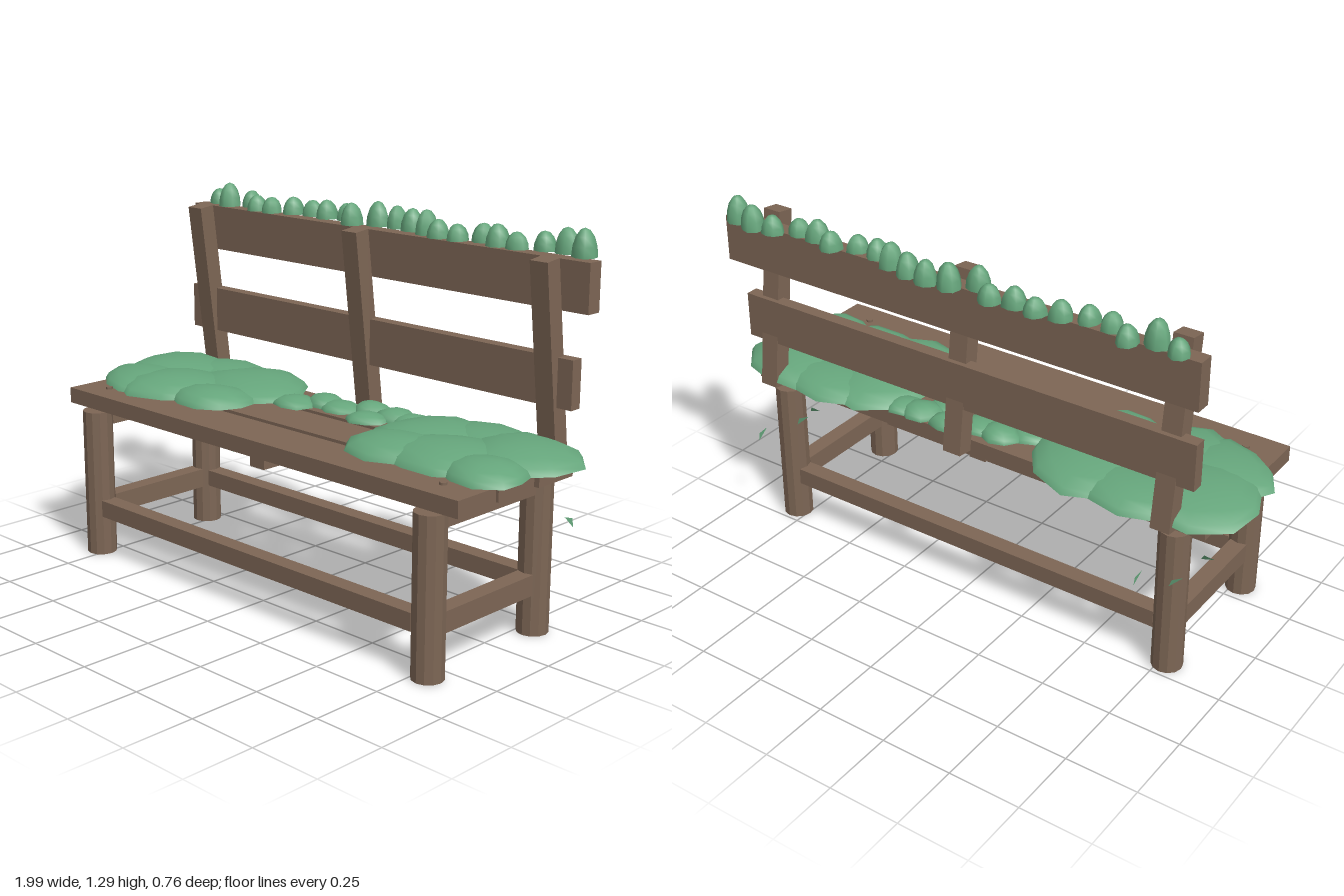
import * as THREE from 'three';
import { mergeGeometries, mergeVertices } from 'three/addons/utils/BufferGeometryUtils.js';

const wood = new THREE.MeshStandardMaterial({ color: 0x7d6655 });
wood.name = 'wood';
const moss = new THREE.MeshStandardMaterial({ color: 0x66a67c });
moss.name = 'moss';
const leafGreen = new THREE.MeshStandardMaterial({ color: 0x66a67c, side: THREE.DoubleSide });
leafGreen.name = 'leaf';

// Box given by its limits on each axis
function beam(name, [x0, x1], [y0, y1], [z0, z1]) {
  const mesh = new THREE.Mesh(new THREE.BoxGeometry(x1 - x0, y1 - y0, z1 - z0), wood);
  mesh.position.set((x0 + x1) / 2, (y0 + y1) / 2, (z0 + z1) / 2);
  mesh.name = name;
  return mesh;
}

// Faceted upright round post
function post(name, x, z, radius, y0, y1) {
  const geo = new THREE.CylinderGeometry(radius, radius, y1 - y0, 12).toNonIndexed();
  geo.computeVertexNormals();
  const mesh = new THREE.Mesh(geo, wood);
  mesh.position.set(x, (y0 + y1) / 2, z);
  mesh.name = name;
  return mesh;
}

// Irregular smooth dome with a flat underside
function dome(name, x, y, z, rx, h, rz, seed, sides = 9) {
  const profile = [0, 22, 45, 68, 90].map((d) => {
    const a = THREE.MathUtils.degToRad(d);
    return new THREE.Vector2(d === 90 ? 0 : Math.cos(a), Math.sin(a));
  });
  const base = [new THREE.Vector2(0, 0), new THREE.Vector2(1, 0)];
  const parts = [profile, base].map((points) => {
    let geo = new THREE.LatheGeometry(points, sides, seed);
    geo.deleteAttribute('uv');
    geo.deleteAttribute('normal');
    const p = geo.attributes.position;
    for (let i = 0; i < p.count; i++) {
      const a = Math.atan2(p.getZ(i), p.getX(i));
      const k = 0.98 + 0.06 * Math.sin(2 * a + seed * 3) + 0.06 * Math.sin(3 * a + seed * 5);
      p.setXYZ(i, p.getX(i) * k * rx, p.getY(i) * h, p.getZ(i) * k * rz);
    }
    geo = mergeVertices(geo, 1e-5);
    geo.computeVertexNormals();
    return geo;
  });
  const mesh = new THREE.Mesh(mergeGeometries(parts), moss);
  mesh.position.set(x, y, z);
  mesh.name = name;
  return mesh;
}

function leaf(x, y, z, turn) {
  const shape = new THREE.Shape();
  shape.moveTo(-0.025, 0.012);
  shape.lineTo(0.025, -0.012);
  shape.lineTo(0.01, 0.016);
  const mesh = new THREE.Mesh(new THREE.ShapeGeometry(shape), leafGreen);
  mesh.position.set(x, y, z);
  mesh.rotation.set(-0.4, turn, 0);
  mesh.name = 'fallingLeaf';
  return mesh;
}

export function createModel() {
  const model = new THREE.Group();

  // Legs, side rails and pegs
  for (const x of [-0.775, 0.795]) {
    model.add(post('frontLeg', x, 0.325, 0.053, 0, 0.53));
    model.add(post('backLeg', x, -0.185, 0.053, 0, 0.53));
    model.add(beam('sideStretcher', [x - 0.03, x + 0.03], [0.14, 0.21], [-0.14, 0.28]));
    model.add(beam('sideApron', [x - 0.03, x + 0.03], [0.475, 0.54], [-0.14, 0.28]));
    model.add(post('peg', x - 0.005, 0.265, 0.012, 0.58, 0.603));
  }
  for (const z of [0.325, -0.185]) {
    model.add(beam('longStretcher', [-0.73, 0.75], [0.145, 0.205], [z - 0.03, z + 0.03]));
  }
  model.add(beam('centreBeam', [-0.025, 0.04], [0.475, 0.54], [-0.14, 0.28]));

  // Seat planks
  model.add(beam('frontPlank', [-0.895, 0.92], [0.54, 0.595], [0.18, 0.352]));
  model.add(beam('middlePlank', [-0.89, 0.91], [0.54, 0.595], [-0.015, 0.155]));
  model.add(beam('backPlank', [-0.89, 0.91], [0.54, 0.595], [-0.21, -0.04]));

  // Backrest
  for (const x of [-0.775, 0.005, 0.795]) {
    const upright = beam('backPost', [x - 0.034, x + 0.034], [0, 0.64], [-0.03, 0.03]);
    upright.position.set(x, 0.89, -0.22);
    upright.rotation.x = 0.125;
    model.add(upright);
  }
  model.add(beam('lowerBackRail', [-0.87, 0.885], [0.74, 0.9], [-0.266, -0.222]));
  model.add(beam('upperBackRail', [-0.89, 0.91], [1.04, 1.2], [-0.311, -0.255]));

  // Moss mounds on the seat: x, z, radius x, radius z, height
  const mounds = [
    [-0.78, -0.08, 0.22, 0.22, 0.058], [-0.77, 0.09, 0.2, 0.17, 0.05],
    [-0.43, -0.1, 0.25, 0.2, 0.055], [-0.62, 0.08, 0.22, 0.19, 0.057],
    [-0.4, 0.11, 0.16, 0.13, 0.05], [-0.62, -0.16, 0.22, 0.16, 0.05],
    [0.79, -0.1, 0.21, 0.21, 0.058], [0.82, 0.11, 0.155, 0.13, 0.052],
    [0.46, -0.07, 0.21, 0.2, 0.055], [0.47, 0.1, 0.2, 0.155, 0.053],
    [0.63, 0.06, 0.22, 0.2, 0.057], [0.62, -0.16, 0.22, 0.15, 0.05],
  ];
  mounds.forEach(([x, z, rx, rz, h], i) =>
    model.add(dome('mossMound', x, 0.595, z, rx, h, rz, i * 1.7 + 0.4, 10)));

  // Small moss tufts between the mounds: x, z, radius
  const tufts = [
    [-0.16, -0.06, 0.085], [-0.08, -0.13, 0.075], [0, -0.12, 0.08], [0.1, -0.17, 0.07],
    [0.16, -0.08, 0.075], [0.22, -0.16, 0.075], [0.29, -0.16, 0.07], [0.4, -0.13, 0.045],
  ];
  tufts.forEach(([x, z, r], i) =>
    model.add(dome('mossTuft', x, 0.595, z, r, 0.03 + 0.008 * (i % 2), r * 0.9, i * 2.3, 8)));

  // Row of moss buds along the top rail: z offset and height, evenly spaced in x
  const buds = [
    [-0.31, 55], [-0.29, 85], [-0.33, 60], [-0.28, 56], [-0.28, 56], [-0.31, 62],
    [-0.33, 56], [-0.32, 66], [-0.34, 60], [-0.28, 76], [-0.33, 84], [-0.34, 76],
    [-0.33, 76], [-0.31, 82], [-0.28, 62], [-0.28, 55], [-0.32, 62], [-0.29, 72],
    [-0.29, 55], [-0.33, 62], [-0.34, 82], [-0.32, 90],
  ];
  buds.forEach(([z, h], i) => {
    const r = 0.026 + h * 0.0002;
    model.add(dome('mossBud', -0.815 + i * 0.0788, 1.202, z, r, h / 1000, r, i * 1.9, 8));
  });

  // Loose leaves under the seat
  const leaves = [
    [-0.9, 0.47, -0.2], [-0.84, 0.41, -0.285], [-0.66, 0.3, -0.2],
    [0.67, 0.47, -0.2], [0.73, 0.41, -0.2], [0.85, 0.355, -0.285],
  ];
  leaves.forEach(([x, y, z], i) => model.add(leaf(x, y, z, 0.7 * (i % 3))));

  return model;
}
